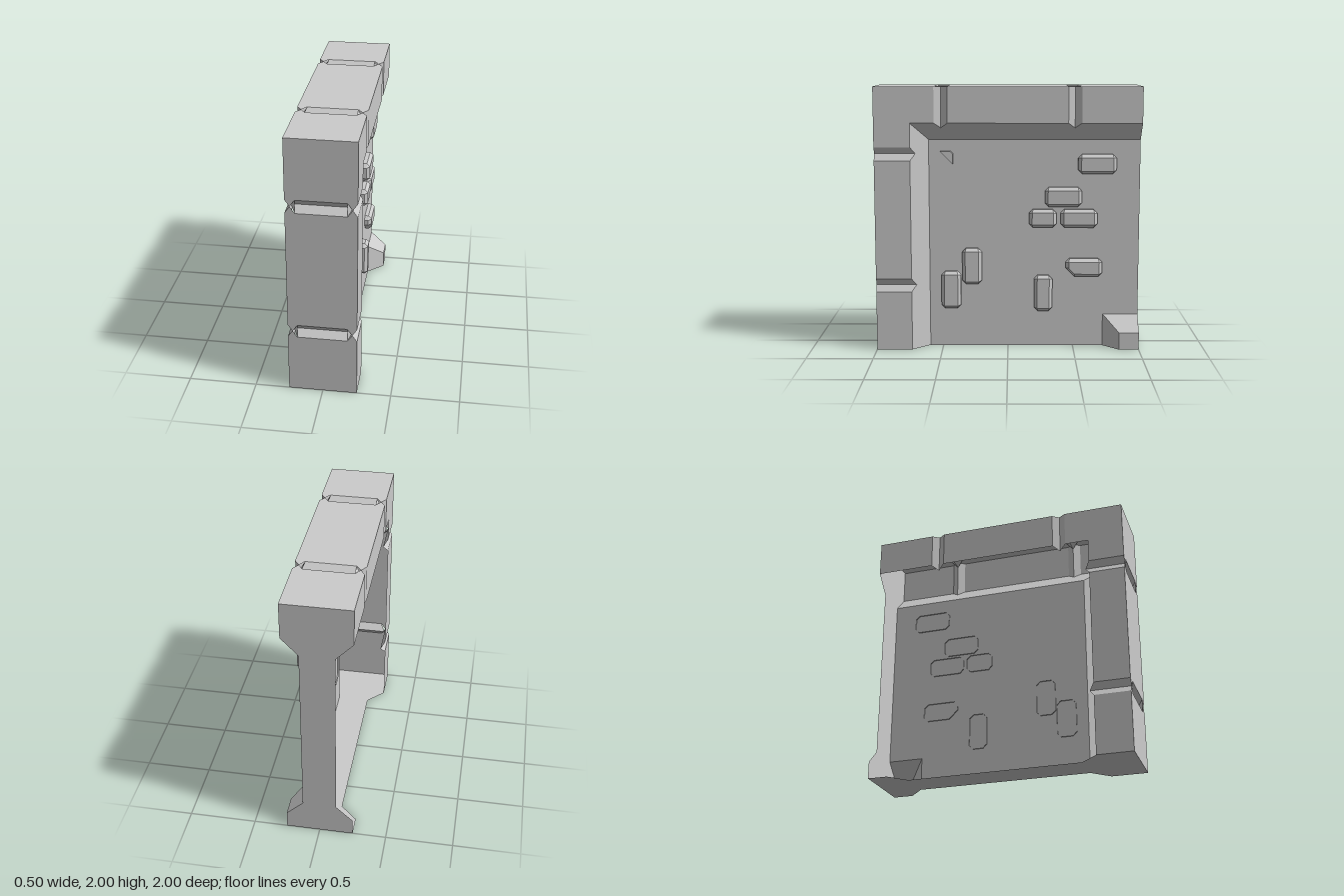
import * as THREE from 'three';

const W = 0.25;       // half thickness of the frame
const P = 0.125;      // half thickness of the recessed panel
const BAND = 0.27;    // width of the frame band
const INNER = 0.4;    // where the frame bevel meets the panel
const CUT = 0.035;    // depth of the joints on the sides
const JOINTS = [0.5, 1.5];
const BEVEL_CUT = BAND + CUT * (INNER - BAND) / (W - P);

const mat = new THREE.MeshStandardMaterial({ color: 0xcccccc, flatShading: true, side: THREE.DoubleSide });

function addMesh(parent, name, geo) {
  const flat = geo.index ? geo.toNonIndexed() : geo;
  flat.deleteAttribute('uv');
  flat.computeVertexNormals();
  const mesh = new THREE.Mesh(flat, mat);
  mesh.name = name;
  parent.add(mesh);
}

// Flat sheet: a 2D outline (with holes) placed in space by map(a, b) -> [x, y, z]
function sheet(parent, name, outline, map, holes = []) {
  const toVec = (pts) => pts.map(([a, b]) => new THREE.Vector2(a, b));
  const shape = new THREE.Shape(toVec(outline));
  shape.holes = holes.map((h) => new THREE.Path(toVec(h)));
  const geo = new THREE.ShapeGeometry(shape);
  const pos = geo.attributes.position;
  for (let i = 0; i < pos.count; i++) pos.setXYZ(i, ...map(pos.getX(i), pos.getY(i)));
  addMesh(parent, name, geo);
}

// One arm of the frame; place(x, u, d): u runs along the arm, d is depth from its outer face
function buildArm(name, place) {
  const arm = new THREE.Group();
  arm.name = name;

  // Outer face with notched edges and a hexagonal opening at each joint
  const edge = [[W, 0]];
  for (const j of JOINTS) edge.push([W, j - 0.05], [W - CUT, j], [W, j + 0.05]);
  edge.push([W, 2]);
  const outline = [...edge, ...edge.map(([x, u]) => [-x, u]).reverse()];
  const a = 0.18, b = W - CUT;
  const holes = JOINTS.map((j) => [[a, j - 0.05], [b, j], [a, j + 0.05], [-a, j + 0.05], [-b, j], [-a, j - 0.05]]);
  sheet(arm, 'outerFace', outline, (x, u) => place(x, u, 0), holes);

  // V-shaped pocket behind each opening
  for (const j of JOINTS) {
    for (const s of [-1, 1]) {
      sheet(arm, 'jointSlope', [[-a, 1], [a, 1], [b, 0], [-b, 0]],
        (x, t) => place(x, j + s * 0.05 * t, 0.045 * (1 - t)));
      sheet(arm, 'jointEnd', [[-1, 0], [1, 0], [0, 1]],
        (t, d) => place(s * (b - (b - a) * Math.abs(t)), j + 0.05 * t, 0.045 * d));
    }
  }

  // Side bands, mitred at the corner, with V joints across them
  for (const s of [-1, 1]) {
    const ends = [0, ...JOINTS.flatMap((j) => [j - 0.05, j + 0.05]), 2];
    for (let i = 0; i < ends.length; i += 2) {
      const u0 = ends[i], u1 = ends[i + 1];
      sheet(arm, 'sideBand', [[u0, 0], [u1, 0], [u1 === 2 ? 2 - BAND : u1, BAND], [u0, BAND]],
        (u, d) => place(s * W, u, d));
    }
    for (const j of JOINTS) for (const k of [-1, 1]) {
      sheet(arm, 'sideJoint', [[0, 0], [1, 0], [1, BAND], [0, BEVEL_CUT]],
        (t, d) => place(s * (W - CUT * (1 - t)), j + k * 0.05 * t, d));
    }
  }

  // Bevel down to the panel on the left side only; the other side is open
  const bevel = [[0, BAND]];
  for (const j of JOINTS) bevel.push([j - 0.05, BAND], [j, BEVEL_CUT], [j + 0.05, BAND]);
  bevel.push([2 - BAND, BAND], [2 - INNER, INNER], [0, INNER]);
  sheet(arm, 'bevel', bevel, (u, d) => place(W - (W - P) * (d - BAND) / (INNER - BAND), u, d));
  return arm;
}

// Stone: cut-corner outline rising straight, then sloping to a smaller flat face
// cuts: corner cut sizes at (z0,y0), (z1,y0), (z1,y1), (z0,y1)
function buildStone(parent, [z0, z1, y0, y1], cuts = [0.03, 0.03, 0.03, 0.03]) {
  const ring = (x, inset, scale) => {
    const [a, b, c, d] = [z0 + inset, z1 - inset, y0 + inset, y1 - inset];
    const [k, l, m, n] = cuts.map((v) => (v > 0.04 ? v - inset : v * scale));
    return [[a, c + k], [a + k, c], [b - l, c], [b, c + l], [b, d - m], [b - m, d], [a + n, d], [a, d - n]]
      .map(([z, y]) => [x, y, z]);
  };
  const rings = [ring(P - 0.01, 0, 1), ring(P + 0.03, 0, 1), ring(P + 0.055, 0.024, 0)];
  const index = [];
  for (let r = 0; r < 2; r++) for (let i = 0; i < 8; i++) {
    const p = r * 8 + i, q = r * 8 + (i + 1) % 8;
    index.push(p, p + 8, q, q, p + 8, q + 8);
  }
  for (let i = 1; i < 7; i++) index.push(16, 16 + i + 1, 16 + i);
  const geo = new THREE.BufferGeometry();
  geo.setAttribute('position', new THREE.Float32BufferAttribute(rings.flat(2), 3));
  geo.setIndex(index);
  addMesh(parent, 'stone', geo);
}

export function createModel() {
  const model = new THREE.Group();
  model.name = 'wallCorner';

  // Two matching frame arms meeting in a mitre
  model.add(buildArm('frontPost', (x, u, d) => [x, u, 1 - d]));
  model.add(buildArm('topBeam', (x, u, d) => [x, 2 - d, u - 1]));

  // Back end and floor, both mirrored in x
  const mirrored = (half) => [...half, ...half.map(([x, v]) => [-x, v]).reverse()];
  sheet(model, 'backEnd', mirrored([[W, 0], [W, 0.13], [P, 0.25], [P, 1.6], [W, 1.73], [W, 2]]),
    (x, y) => [x, y, -1]);
  sheet(model, 'floor', mirrored([[W, -1], [W, -0.85], [P, -0.73], [P, 0.6], [W, 0.73], [W, 1]]),
    (x, z) => [x, 0, z]);

  // Recessed panel
  sheet(model, 'panel', [[0.6, 0], [0.6, 1.6], [-1, 1.6], [-1, 0.25], [-0.73, 0.25], [-0.73, 0]],
    (z, y) => [P, y, z]);

  // Corner foot with two bevels
  const slope = (v) => W - (W - P) * v / 0.12;
  sheet(model, 'footFace', [[-1, 0], [-0.85, 0], [-0.85, 0.13], [-1, 0.13]], (z, y) => [W, y, z]);
  sheet(model, 'footTopBevel', [[-1, 0.13], [-0.85, 0.13], [-0.73, 0.25], [-1, 0.25]],
    (z, y) => [slope(y - 0.13), y, z]);
  sheet(model, 'footSideBevel', [[-0.85, 0], [-0.73, 0], [-0.73, 0.25], [-0.85, 0.13]],
    (z, y) => [slope(z + 0.85), y, z]);

  // Raised stones: z range, y range
  const stones = new THREE.Group();
  stones.name = 'stones';
  model.add(stones);
  const places = [
    [-0.82, -0.53, 1.34, 1.49], [-0.56, -0.28, 1.09, 1.24], [-0.37, -0.16, 0.93, 1.07],
    [-0.68, -0.4, 0.93, 1.07], [0.2, 0.35, 0.49, 0.77], [0.36, 0.51, 0.3, 0.59],
    [-0.34, -0.2, 0.28, 0.56],
  ];
  for (const p of places) buildStone(stones, p);
  buildStone(stones, [-0.72, -0.44, 0.55, 0.69], [0.03, 0.07, 0.03, 0.03]); // chipped corner

  // Stone fragment cut along the diagonal
  const chip = new THREE.Shape([[0.513, 1.513], [0.435, 1.513], [0.417, 1.495], [0.417, 1.417]]
    .map(([z, y]) => new THREE.Vector2(-z, y)));
  const chipGeo = new THREE.ExtrudeGeometry(chip, { depth: 0.045, bevelEnabled: false });
  chipGeo.rotateY(Math.PI / 2).translate(P, 0, 0);
  addMesh(stones, 'stoneFragment', chipGeo);

  return model;
}
